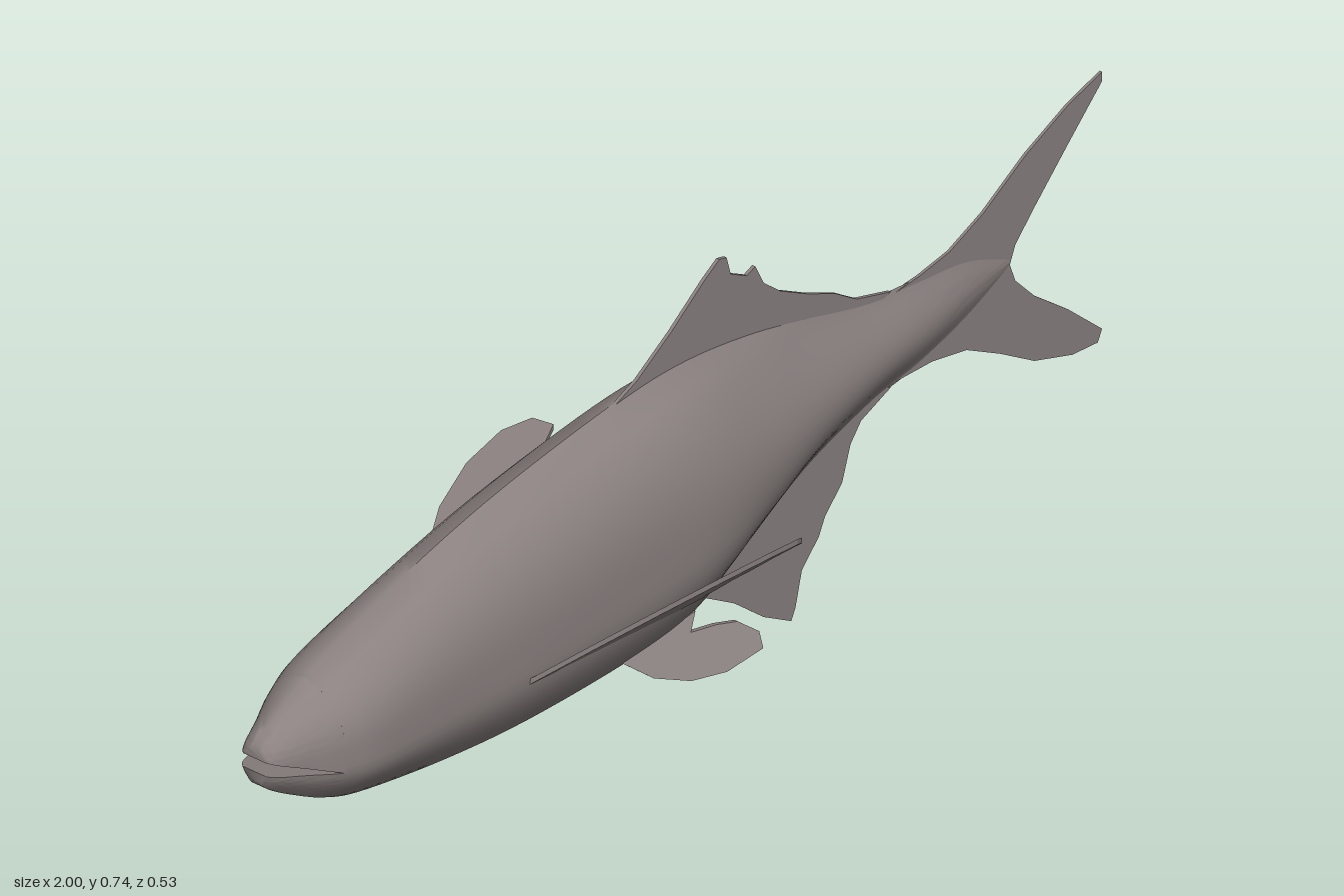
import * as THREE from 'three';
import { toCreasedNormals } from 'three/addons/utils/BufferGeometryUtils.js';

// Body stations: x, belly y, back y, half width, keel (0 = full section, 1 = lens section)
const STATIONS = [
  [-1, 0.345, 0.405, 0.024, 0], [-0.985, 0.328, 0.42, 0.036, 0], [-0.94, 0.3, 0.444, 0.054, 0],
  [-0.88, 0.27, 0.473, 0.08, 0], [-0.8, 0.245, 0.5, 0.098, 0], [-0.6, 0.205, 0.55, 0.104, 0],
  [-0.4, 0.181, 0.582, 0.111, 0], [-0.15, 0.17, 0.602, 0.113, 0], [0, 0.174, 0.6, 0.111, 0.2],
  [0.15, 0.21, 0.575, 0.092, 0.6], [0.3, 0.255, 0.535, 0.066, 1], [0.45, 0.296, 0.488, 0.042, 1],
  [0.57, 0.31, 0.468, 0.028, 1], [0.68, 0.335, 0.45, 0.015, 1], [0.78, 0.375, 0.405, 0.003, 1],
];
const LAST = STATIONS.length - 1;
const JAW_END = 3; // station at the corner of the mouth
const heights = new THREE.CatmullRomCurve3(STATIONS.map(s => new THREE.Vector3(s[0], s[1], s[2])), false, 'catmullrom');
const widths = new THREE.CatmullRomCurve3(STATIONS.map(s => new THREE.Vector3(s[0], s[3], s[4])), false, 'catmullrom');

// Relative half width at height t (0 belly, 1 back)
function sectionWidth(t, keel) {
  const full = t < 0.35 ? 0.45 + 0.55 * Math.sin(Math.PI / 2 * t / 0.35)
    : Math.pow(Math.max(0, 1 - Math.pow(Math.max(0, (t - 0.45) / 0.55), 2.6)), 0.7);
  const lens = Math.pow(Math.max(0, Math.sin(Math.PI * t)), 1.25);
  return THREE.MathUtils.lerp(full, lens, keel);
}

// Loft between two stations; range(x, lo, hi) gives the lower and upper y of the slice
function loft(from, to, steps, range) {
  const pos = [], index = [], side = 18, ring = side * 2;
  for (let i = 0; i <= steps; i++) {
    const u = (from + (to - from) * i / steps) / LAST;
    const { x, y: lo, z: hi } = heights.getPoint(u);
    const { y: w, z: keel } = widths.getPoint(u);
    const [a, b] = range(x, lo, hi);
    for (let j = 0; j < ring; j++) {
      const s = j < side ? j : ring - 1 - j;
      const y = a + (b - a) * s / (side - 1);
      const z = w * sectionWidth((y - lo) / (hi - lo), keel);
      pos.push(x, y, j < side ? z : -z);
    }
  }
  for (let i = 0; i < steps; i++) {
    for (let j = 0; j < ring; j++) {
      const k = (j + 1) % ring, a = i * ring, b = a + ring;
      index.push(a + j, b + j, b + k, a + j, b + k, a + k);
    }
  }
  // End caps
  const end = steps * ring;
  for (let j = 1; j < ring - 1; j++) index.push(0, j, j + 1, end, end + j + 1, end + j);
  const g = new THREE.BufferGeometry();
  g.setAttribute('position', new THREE.Float32BufferAttribute(pos, 3));
  g.setIndex(index);
  return toCreasedNormals(g, 0.9);
}

// Thin plate from an outline, optionally bent into place by a rule
function finPlate(points, thickness, place) {
  const shape = new THREE.Shape(points.map(p => new THREE.Vector2(p[0], p[1])));
  const g = new THREE.ExtrudeGeometry(shape, { depth: thickness, bevelEnabled: false });
  g.translate(0, 0, -thickness / 2);
  if (place) {
    const p = g.attributes.position;
    for (let i = 0; i < p.count; i++) p.setXYZ(i, ...place(p.getX(i), p.getY(i), p.getZ(i)));
    g.computeVertexNormals();
  }
  return g;
}

export function createModel() {
  const skin = new THREE.MeshStandardMaterial({ color: 0x8a8180, side: THREE.DoubleSide });
  skin.name = 'greySkin';
  const fish = new THREE.Group();
  fish.name = 'fish';
  const add = (name, geometry) => {
    const mesh = new THREE.Mesh(geometry, skin);
    mesh.name = name;
    fish.add(mesh);
    return mesh;
  };

  // Body and the two jaws around the open mouth
  const mouth = (x, tip) => THREE.MathUtils.mapLinear(x, -1, -0.88, tip, 0.332);
  add('body', loft(JAW_END, LAST, 60, (x, lo, hi) => [lo, hi]));
  add('upperJaw', loft(0, JAW_END, 10, (x, lo, hi) => [mouth(x, 0.386), hi]));
  add('lowerJaw', loft(0, JAW_END, 10, (x, lo) => [lo, mouth(x, 0.362)]));

  // Fins on the centre line
  add('tailFin', finPlate([
    [0.5, 0.47], [0.57, 0.472], [0.64, 0.48], [0.72, 0.51], [0.82, 0.565], [0.92, 0.605], [1, 0.625],
    [1, 0.608], [0.92, 0.535], [0.84, 0.46], [0.795, 0.415], [0.782, 0.385], [0.795, 0.35],
    [0.84, 0.3], [0.92, 0.235], [1, 0.16], [0.99, 0.14], [0.93, 0.148], [0.84, 0.182],
    [0.76, 0.235], [0.68, 0.282], [0.6, 0.302], [0.5, 0.31],
  ], 0.005));
  add('dorsalFin', finPlate([
    [-0.15, 0.6], [-0.1, 0.618], [-0.02, 0.665], [0.06, 0.72], [0.095, 0.74], [0.112, 0.735],
    [0.122, 0.7], [0.16, 0.678], [0.18, 0.685], [0.2, 0.645], [0.24, 0.61], [0.3, 0.575],
    [0.37, 0.54], [0.42, 0.505], [0.5, 0.478], [0.4, 0.45], [0.1, 0.52], [-0.1, 0.56],
  ], 0.006));
  add('analFin', finPlate([
    [0.01, 0.18], [0.06, 0.145], [0.13, 0.1], [0.2, 0.04], [0.265, 0], [0.275, 0.02], [0.29, 0.08],
    [0.33, 0.12], [0.345, 0.15], [0.385, 0.19], [0.405, 0.25], [0.43, 0.28], [0.5, 0.305],
    [0.4, 0.35], [0.1, 0.26],
  ], 0.006));

  // Paired fins, mirrored across the centre line
  const pectoral = finPlate([
    [-0.48, 0.105], [-0.4, 0.17], [-0.3, 0.22], [-0.2, 0.25], [-0.1, 0.265], [-0.03, 0.262],
    [0, 0.245], [-0.045, 0.228], [-0.06, 0.195], [-0.09, 0.185], [-0.085, 0.15], [-0.1, 0.135],
    [-0.07, 0.11], [-0.15, 0.085], [-0.35, 0.085],
  ], 0.01, (x, z, d) => [x, 0.31 + (z - 0.11) * 0.95 - (x + 0.48) * 0.12 + d, z]);
  const pelvic = finPlate([
    [-0.2, 0.18], [-0.16, 0.145], [-0.1, 0.12], [-0.03, 0.107], [0.055, 0.107], [0.066, 0.125],
    [0.04, 0.147], [0, 0.157], [-0.05, 0.165], [-0.02, 0.182],
  ], 0.007, (x, y, d) => [x, y, 0.055 + (0.175 - y) * 0.95 + d]);
  for (const [side, sign] of [['left', 1], ['right', -1]]) {
    add(side + 'PectoralFin', pectoral).scale.z = sign;
    add(side + 'PelvicFin', pelvic).scale.z = sign;
  }
  return fish;
}
